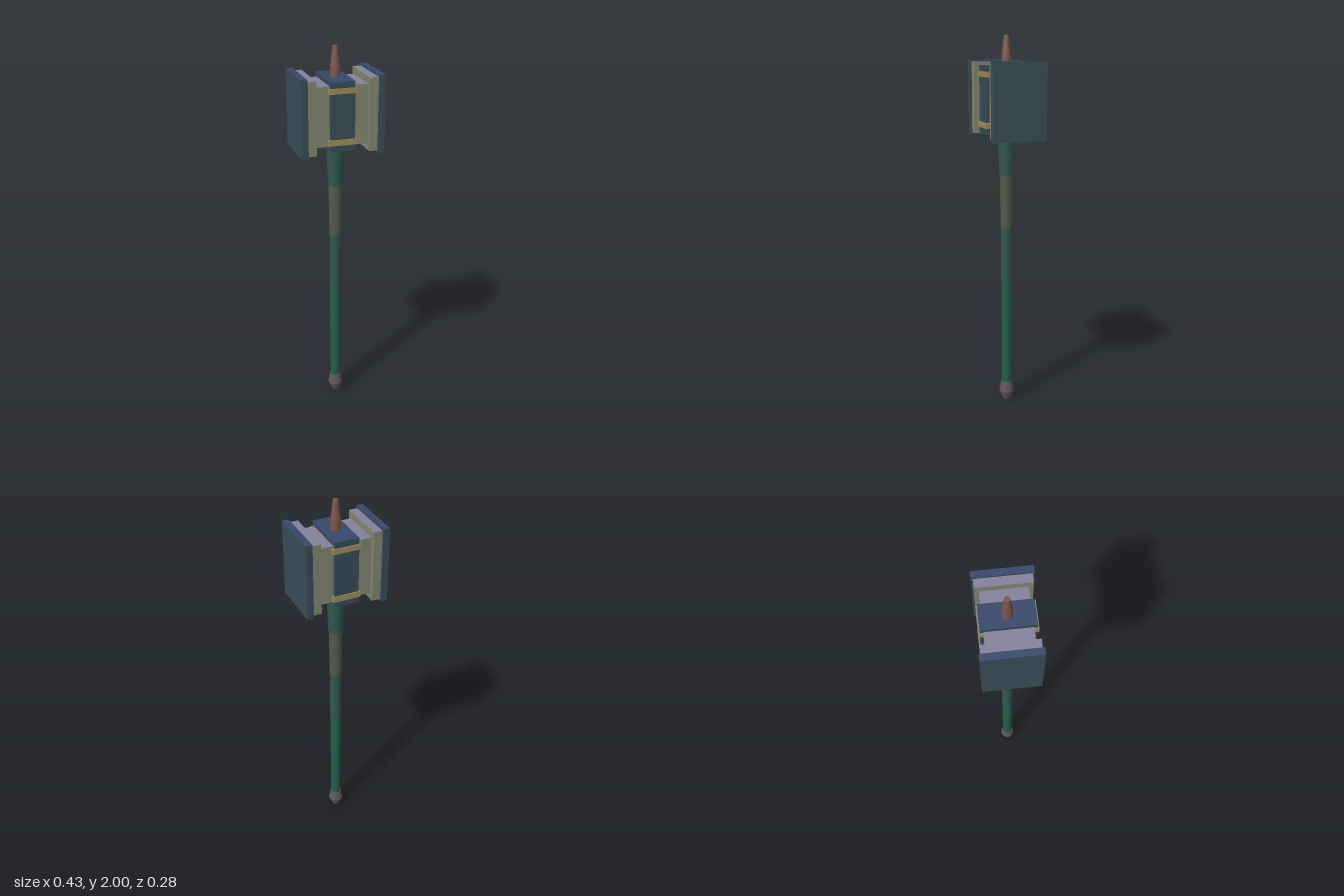
import * as THREE from 'three';

const mat = (name, color) => {
  const m = new THREE.MeshStandardMaterial({ color });
  m.name = name;
  return m;
};

export function createModel() {
  const group = new THREE.Group();
  group.name = 'warHammer';

  const teal = mat('dark teal', 0x384d57);
  const navy = mat('navy', 0x36476c);
  const olive = mat('olive grey', 0x82866f);
  const purple = mat('dusty purple', 0x85809b);
  const gold = mat('gold', 0xa08a58);
  const green = mat('green', 0x216048);
  const deepGreen = mat('deep teal green', 0x30574d);
  const brownGreen = mat('brown green', 0x515a49);
  const brown = mat('red brown', 0x7a544b);
  const mauve = mat('mauve grey', 0x63575b);

  const add = (name, geometry, material) => {
    const mesh = new THREE.Mesh(geometry, material);
    mesh.name = name;
    group.add(mesh);
    return mesh;
  };

  // Box given by its limits, symmetric in z, with its own colour on top
  const block = (name, x0, x1, y0, y1, halfZ, side, top) => {
    const mesh = add(name, new THREE.BoxGeometry(x1 - x0, y1 - y0, halfZ * 2),
      [side, side, top, side, side, side]);
    mesh.position.set((x0 + x1) / 2, (y0 + y1) / 2, 0);
  };

  // Round section between two heights
  const round = (name, y0, y1, r0, r1, material) => {
    const mesh = add(name, new THREE.CylinderGeometry(r1, r0, y1 - y0, 16), material);
    mesh.position.y = (y0 + y1) / 2;
  };

  // Hammer head
  block('headCore', -0.135, 0.135, 1.527, 1.828, 0.111, olive, purple);
  block('headCentre', -0.063, 0.063, 1.503, 1.85, 0.127, teal, navy);
  for (const [side, s] of [['left', 1], ['right', -1]]) {
    const span = (a, b) => (s > 0 ? [a, b] : [-b, -a]);
    block(side + 'Collar', ...span(0.135, 0.18), 1.492, 1.863, 0.133, olive, purple);
    block(side + 'StrikingPlate', ...span(0.18, 0.214), 1.481, 1.874, 0.142, teal, navy);
  }

  // Bands around the centre block
  block('upperBand', -0.072, 0.072, 1.793, 1.82, 0.134, gold, olive);
  block('lowerBand', -0.072, 0.072, 1.535, 1.564, 0.134, gold, olive);

  // Handle, from bottom to top
  round('lowerHandle', 0.1, 0.7, 0.028, 0.028, green);
  round('middleHandle', 0.69, 1.01, 0.03, 0.031, deepGreen);
  round('upperHandle', 1.0, 1.29, 0.032, 0.035, brownGreen);
  round('handleSocket', 1.28, 1.51, 0.038, 0.046, deepGreen);

  // Pommel
  round('pommelTop', 0.05, 0.108, 0.04, 0.031, mauve);
  const tip = add('pommelTip', new THREE.CylinderGeometry(0.04, 0.02, 0.05, 16),
    [mauve, mauve, brown]);
  tip.position.y = 0.025;

  // Spike on top of the head
  round('spikeBase', 1.845, 1.9, 0.027, 0.025, brown);
  round('spikeTip', 1.9, 2.0, 0.025, 0.0135, brown);

  return group;
}
